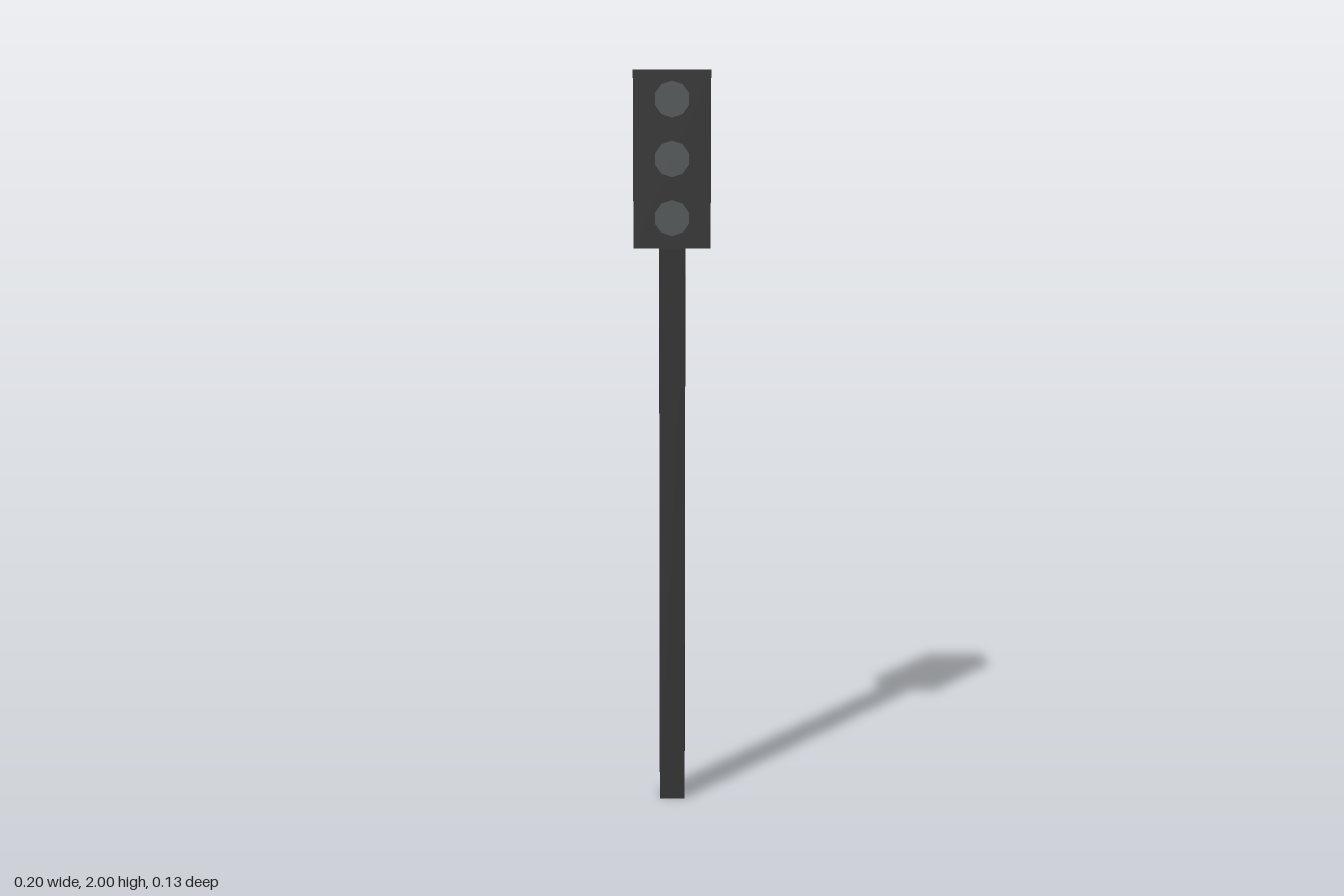
import * as THREE from 'three';

export function createModel() {
  const group = new THREE.Group();
  const material = (name, color) => {
    const m = new THREE.MeshStandardMaterial({ color });
    m.name = name;
    return m;
  };
  const casing = material('charcoal casing', 0x363636);
  const glass = material('unlit lens grey', 0x565a5b);

  const add = (name, geometry, mat, x, y, z) => {
    const mesh = new THREE.Mesh(geometry, mat);
    mesh.name = name;
    mesh.position.set(x, y, z);
    group.add(mesh);
    return mesh;
  };

  // Square pole and signal housing
  const housingBottom = 1.54, housingDepth = 0.126;
  add('pole', new THREE.BoxGeometry(0.07, housingBottom, 0.07), casing, 0, housingBottom / 2, 0);
  add('signalHousing', new THREE.BoxGeometry(0.204, 2 - housingBottom, housingDepth), casing,
    0, (2 + housingBottom) / 2, 0);

  // Three unlit lenses, thin discs on the front face
  const lens = new THREE.CylinderGeometry(0.047, 0.047, 0.002, 10).toNonIndexed();
  lens.computeVertexNormals();
  lens.rotateX(Math.PI / 2);
  [['topLens', 1.925], ['middleLens', 1.772], ['bottomLens', 1.619]].forEach(([name, y]) =>
    add(name, lens, glass, 0, y, housingDepth / 2 + 0.001));

  return group;
}
